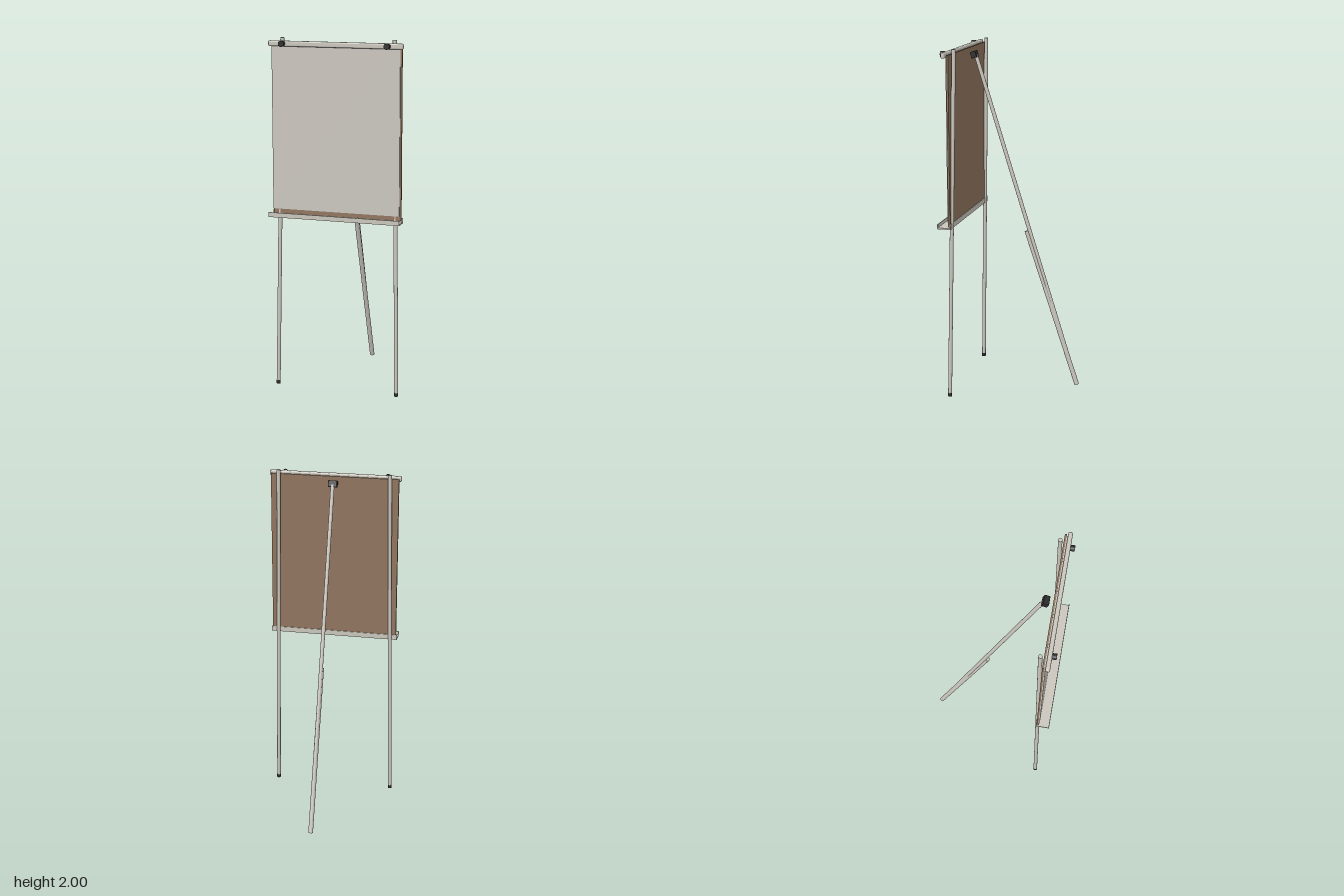
import * as THREE from 'three';
import { RoundedBoxGeometry } from 'three/addons/geometries/RoundedBoxGeometry.js';

const material = (name, color) => {
  const m = new THREE.MeshStandardMaterial({ color });
  m.name = name;
  return m;
};

export function createModel() {
  const group = new THREE.Group();
  const metal = material('brushed metal', 0xc9c5bc);
  const paper = material('paper', 0xcac5be);
  const wood = material('brown board', 0x8f755e);
  const black = material('black plastic', 0x2b2b2c);

  const add = (name, geometry, mat, x, y, z) => {
    const mesh = new THREE.Mesh(geometry, mat);
    mesh.name = name;
    mesh.position.set(x, y, z);
    group.add(mesh);
    return mesh;
  };
  // box given by its min and max corners
  const box = (name, mat, [x0, y0, z0], [x1, y1, z1]) =>
    add(name, new THREE.BoxGeometry(x1 - x0, y1 - y0, z1 - z0), mat,
      (x0 + x1) / 2, (y0 + y1) / 2, (z0 + z1) / 2);
  // round tube between two points
  const tube = (name, mat, a, b, radius) => {
    const dir = b.clone().sub(a);
    const mid = a.clone().add(b).multiplyScalar(0.5);
    const mesh = add(name, new THREE.CylinderGeometry(radius, radius, dir.length(), 24), mat, mid.x, mid.y, mid.z);
    mesh.quaternion.setFromUnitVectors(new THREE.Vector3(0, 1, 0), dir.normalize());
    return mesh;
  };

  // board and paper pad
  box('board', wood, [-0.376, 1.012, 0.297], [0.376, 1.972, 0.307]);
  box('paperPad', paper, [-0.376, 1.038, 0.307], [0.367, 1.968, 0.314]);

  // pen tray: floor, front lip and back lip
  box('trayFloor', metal, [-0.383, 0.998, 0.294], [0.383, 1.006, 0.37]);
  box('trayFrontLip', metal, [-0.383, 0.998, 0.366], [0.383, 1.025, 0.37]);
  box('trayBackLip', metal, [-0.383, 0.998, 0.293], [0.383, 1.028, 0.297]);

  // clamp bar across the top
  add('clampBar', new RoundedBoxGeometry(0.776, 0.031, 0.024, 4, 0.008), metal, 0, 1.97, 0.326);

  for (const side of [-1, 1]) {
    // clamp knobs
    const knob = add('clampKnob', new THREE.CylinderGeometry(0.0165, 0.0165, 0.024, 20), black, side * 0.303, 1.97, 0.349);
    knob.rotation.x = Math.PI / 2;

    // front legs with rubber feet
    const foot = new THREE.Vector3(side * 0.357, 0, 0.315);
    const top = new THREE.Vector3(side * 0.325, 2, 0.279);
    const ankle = foot.clone().lerp(top, 0.01);
    tube('frontLeg', metal, ankle, top, 0.0112);
    tube('frontFoot', black, foot, ankle, 0.0118);
  }

  // rear leg: upper rod and lower sleeve
  tube('rearLegUpper', metal, new THREE.Vector3(0, 0.05, -0.343), new THREE.Vector3(0, 1.935, 0.248), 0.0112);
  tube('rearLegLower', metal, new THREE.Vector3(0, 0.005, -0.358), new THREE.Vector3(0, 0.922, -0.052), 0.0137);

  // hinge block
  const hinge = add('hingeBlock', new RoundedBoxGeometry(0.052, 0.038, 0.032, 2, 0.003), black, 0, 1.938, 0.257);
  hinge.rotation.x = 0.3;

  return group;
}
